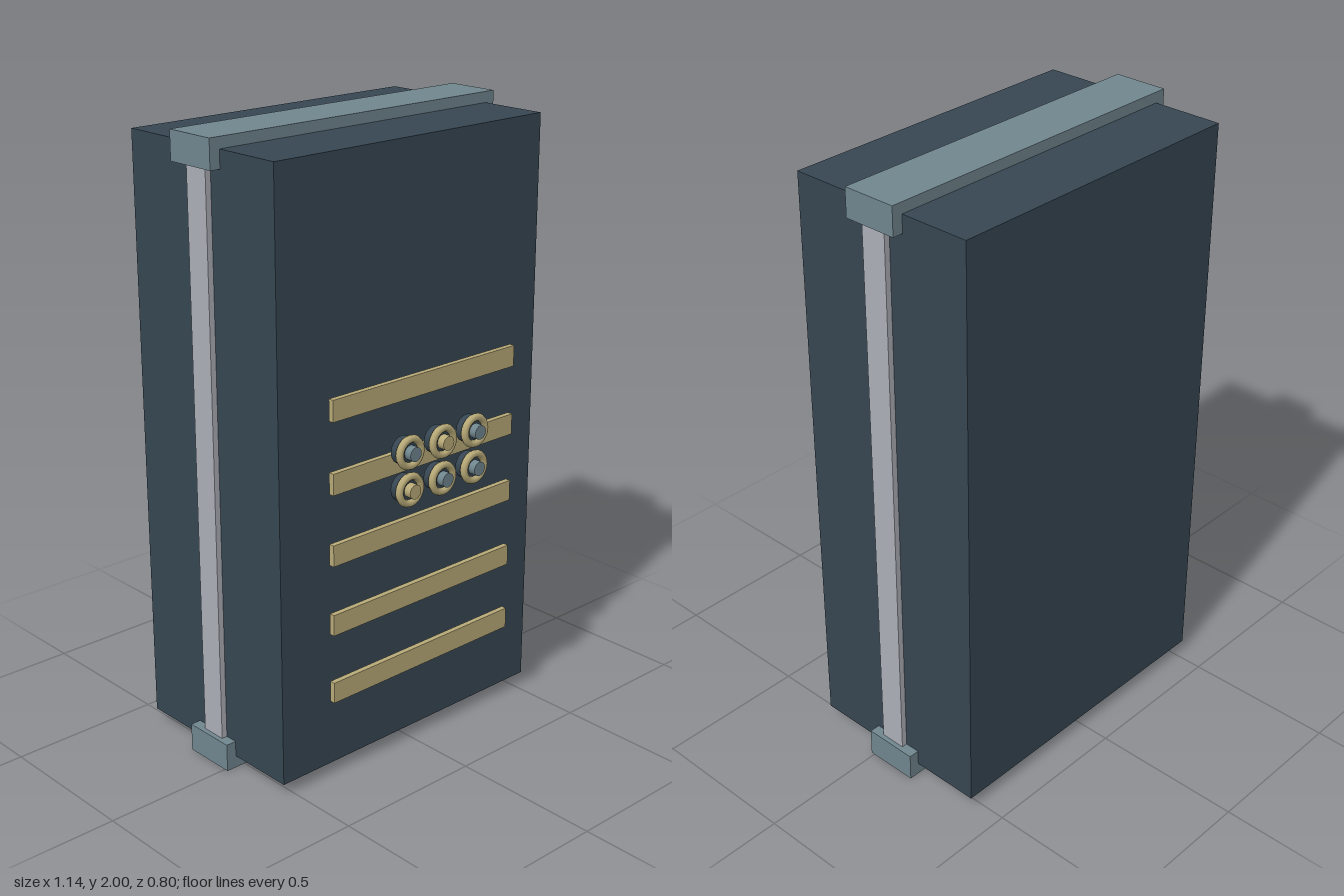
import * as THREE from 'three';

function material(name, color) {
  const m = new THREE.MeshStandardMaterial({ color });
  m.name = name;
  return m;
}

export function createModel() {
  const model = new THREE.Group();
  model.name = 'cabinet';
  const navy = material('dark slate', 0x364652);
  const steel = material('blue grey', 0x70868e);
  const silver = material('silver', 0xacafb7);
  const brass = material('brass', 0xb8aa78);

  function add(parent, name, geometry, mat, x, y, z) {
    const mesh = new THREE.Mesh(geometry, mat);
    mesh.name = name;
    mesh.position.set(x, y, z);
    parent.add(mesh);
    return mesh;
  }
  const box = (w, h, d) => new THREE.BoxGeometry(w, h, d);
  // Cylinder whose axis points to the front
  const disc = (r, depth) => new THREE.CylinderGeometry(r, r, depth, 16).rotateX(Math.PI / 2);

  // Main body
  add(model, 'body', box(1.07, 1.925, 0.645), navy, 0, 1.0025, -0.0775);

  // Bands across the bottom and top
  add(model, 'bottomBand', box(1.14, 0.092, 0.18), steel, 0, 0.046, -0.077);
  add(model, 'topBand', box(1.14, 0.092, 0.18), steel, 0, 1.954, -0.077);

  // Upright rails on both sides
  for (const side of [-1, 1]) {
    add(model, side > 0 ? 'leftRail' : 'rightRail', box(0.04, 1.83, 0.086), silver, side * 0.534, 1, -0.073);
  }

  // Horizontal slats standing off the front
  for (let i = 0; i < 5; i++) {
    add(model, 'slat', box(0.76, 0.068, 0.018), brass, 0, 0.323 + i * 0.227, 0.297);
  }

  // Two rows of round knobs: dark base, brass ring, coloured centre
  const baseGeometry = disc(0.044, 0.037);
  const ringGeometry = new THREE.TorusGeometry(0.043, 0.012, 8, 20);
  const capGeometry = disc(0.023, 0.03);
  const rows = [
    { y: 1.062, caps: [steel, brass, steel] },
    { y: 0.943, caps: [brass, steel, steel] },
  ];
  for (const { y, caps } of rows) {
    caps.forEach((capMaterial, i) => {
      const knob = new THREE.Group();
      knob.name = 'knob';
      knob.position.set((i - 1) * 0.137, y, 0);
      add(knob, 'knobBase', baseGeometry, navy, 0, 0, 0.3565);
      add(knob, 'knobRing', ringGeometry, brass, 0, 0, 0.375);
      add(knob, 'knobCap', capGeometry, capMaterial, 0, 0, 0.385);
      model.add(knob);
    });
  }
  return model;
}
